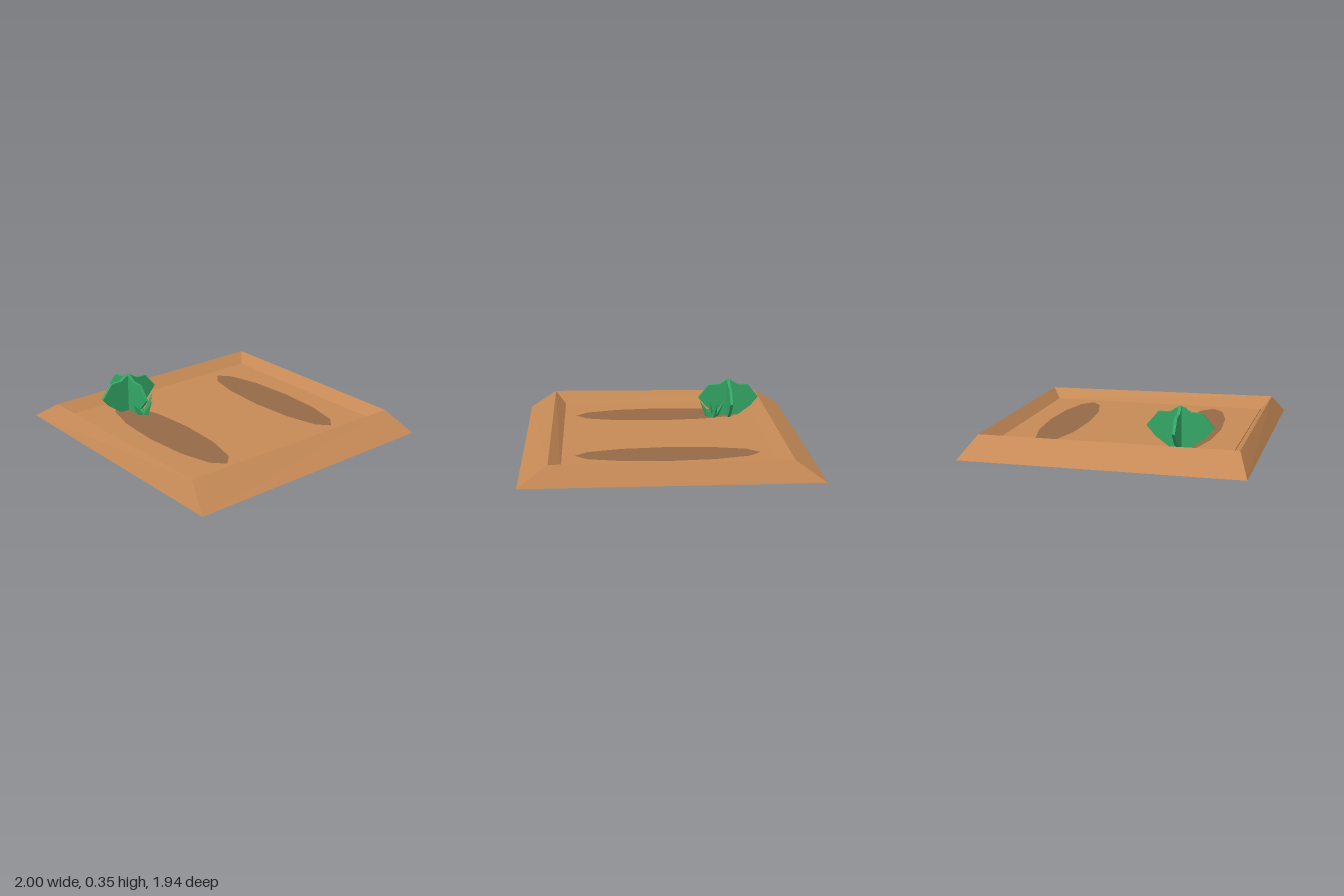
import * as THREE from 'three';

const soil = new THREE.MeshStandardMaterial({ color: 0xc68a56 });
soil.name = 'soil';
const darkSoil = new THREE.MeshStandardMaterial({ color: 0x966a47 });
darkSoil.name = 'darkSoil';
const leaf = new THREE.MeshStandardMaterial({ color: 0x34a866 });
leaf.name = 'leafGreen';

function part(parent, name, geometry, material) {
  const mesh = new THREE.Mesh(geometry, material);
  mesh.name = name;
  parent.add(mesh);
  return mesh;
}

// Flat-shaded loft through rectangles given as [half width, half depth, height]
function rectLoft(rings) {
  const signs = [[1, 1], [1, -1], [-1, -1], [-1, 1]];
  const corner = ([hx, hz, y], i) => {
    const [sx, sz] = signs[i % 4];
    const x = sx * hx;
    const z = sz * hz + 0.008 * x;
    // slightly uneven ground: one raised corner and a tilted bottom
    const raised = y > 0.13 && sx > 0 && sz > 0 ? 0.016 : 0;
    const tilt = y === 0 ? 0.02 * (z + 0.77) : 0;
    return [x, y + raised + tilt, z];
  };
  const pos = [];
  for (let r = 0; r < rings.length - 1; r++) {
    for (let i = 0; i < 4; i++) {
      const a = corner(rings[r], i), b = corner(rings[r], i + 1);
      const c = corner(rings[r + 1], i + 1), d = corner(rings[r + 1], i);
      if (rings[r][0] > 0) pos.push(...a, ...b, ...c);
      else pos.push(...a, ...c, ...d);
      if (rings[r][0] > 0 && rings[r + 1][0] > 0) pos.push(...a, ...c, ...d);
    }
  }
  const g = new THREE.BufferGeometry();
  g.setAttribute('position', new THREE.Float32BufferAttribute(pos, 3));
  g.computeVertexNormals();
  return g;
}

// Flat twelve-sided oval lying on the floor
function oval(rx, rz) {
  const g = new THREE.CircleGeometry(1, 12);
  g.rotateX(-Math.PI / 2);
  g.scale(rx, 1, rz);
  return g;
}

// Scalloped leaf plate, centred on its stem
function leafPlate() {
  const half = [[0.02, 0.342], [0.07, 0.31], [0.15, 0.307], [0.23, 0.21], [0.17, 0.14], [0.075, 0.07], [0.03, 0.012]];
  const outline = [...half, ...half.map(([x, y]) => [-x, y]).reverse()];
  outline.push([0, 0.35]);
  const shape = new THREE.Shape(outline.map(([x, y]) => new THREE.Vector2(x, y)));
  const g = new THREE.ExtrudeGeometry(shape, { depth: 0.02, bevelEnabled: false });
  g.translate(0, 0, -0.01);
  return g;
}

// Pointed blade of grass from the origin to a tip
function blade(tip) {
  const length = tip.length();
  const g = new THREE.ConeGeometry(0.034, length, 4).toNonIndexed();
  g.translate(0, length / 2, 0);
  g.applyQuaternion(new THREE.Quaternion().setFromUnitVectors(
    new THREE.Vector3(0, 1, 0), tip.clone().normalize()));
  g.computeVertexNormals();
  return g;
}

export function createModel() {
  const model = new THREE.Group();
  model.name = 'gardenBed';

  // Soil bed: bottom, hollow underside, sloped rim and sunken floor
  part(model, 'soilBed', rectLoft([
    [0, 0, 0], [0.68, 0.765, 0], [0.73, 0.815, 0.06], [0.73, 0.815, 0.08],
    [0.84, 0.915, 0.08], [1, 0.963, 0.01], [0.8, 0.886, 0.143],
    [0.722, 0.819, 0.07], [0, 0, 0.07],
  ]), soil);

  // Two dark furrows
  part(model, 'backFurrow', oval(0.635, 0.15), darkSoil).position.set(0, 0.0725, -0.5);
  part(model, 'frontFurrow', oval(0.635, 0.163), darkSoil).position.set(0, 0.0725, 0.465);

  // Bush made of two crossed leaf plates
  const bush = new THREE.Group();
  bush.name = 'bush';
  bush.position.set(-0.527, 0, 0.437);
  for (const turn of [0, 1]) {
    part(bush, 'leafPlate', leafPlate(), leaf).rotation.y = turn * Math.PI / 2;
  }
  model.add(bush);

  // Small tuft of spreading blades beside the bush
  const tuft = new THREE.Group();
  tuft.name = 'grassTuft';
  tuft.position.set(-0.4, 0.025, 0.4);
  const tips = [[-0.03, 0.18, -0.11], [0.02, 0.17, -0.05], [0.095, 0.17, -0.015], [0.005, 0.14, 0.09], [-0.09, 0.16, -0.015]];
  for (const tip of tips) {
    part(tuft, 'grassBlade', blade(new THREE.Vector3(...tip)), leaf);
  }
  model.add(tuft);

  return model;
}
